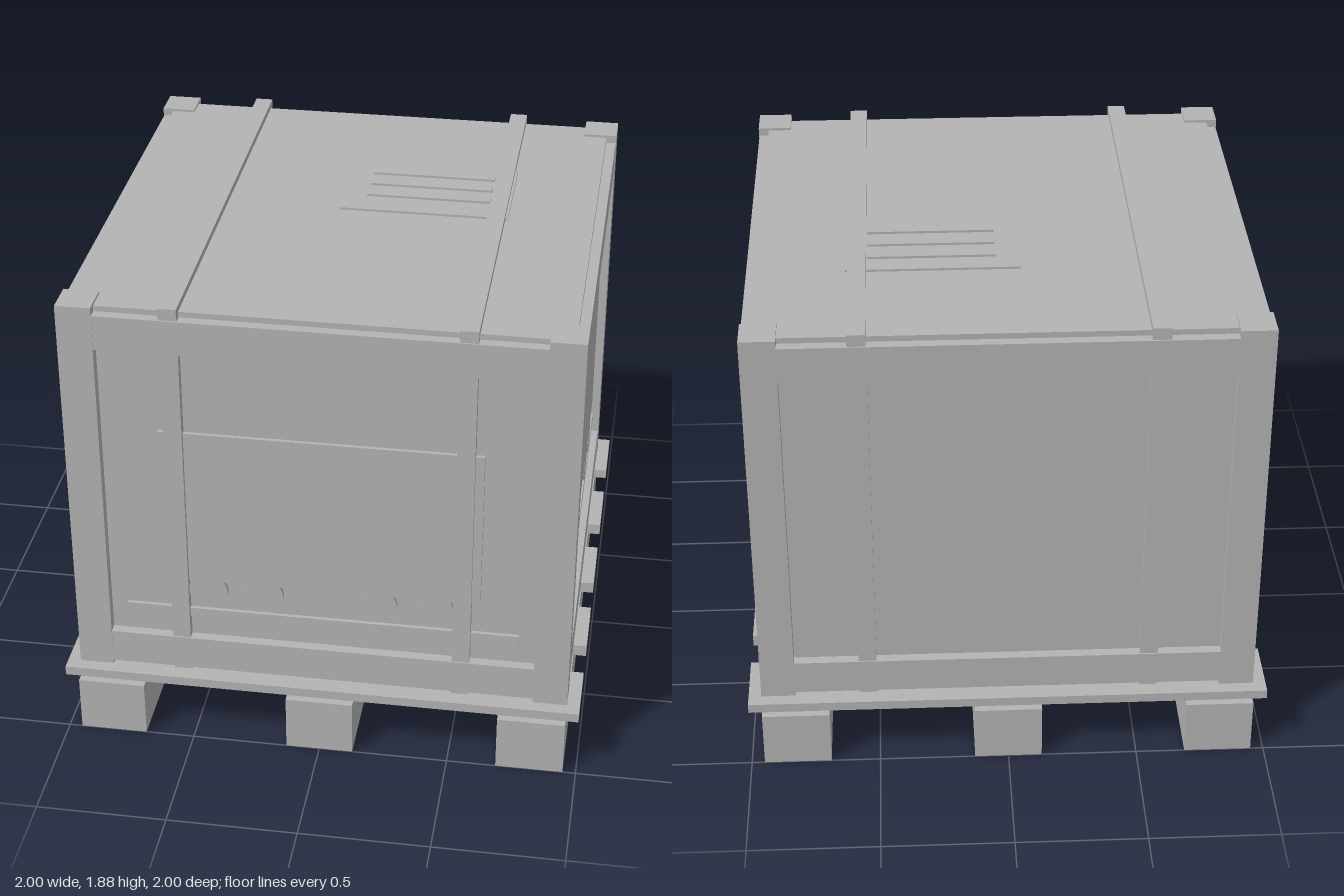
import * as THREE from 'three';

const wood = new THREE.MeshStandardMaterial({ color: 0xb3b3b3 });
wood.name = 'plain grey';

export function createModel() {
  const model = new THREE.Group();
  model.name = 'crateOnPallet';

  // box given by its low and high limits on each axis
  function box(parent, name, [x0, x1], [y0, y1], [z0, z1]) {
    const mesh = new THREE.Mesh(new THREE.BoxGeometry(x1 - x0, y1 - y0, z1 - z0), wood);
    mesh.position.set((x0 + x1) / 2, (y0 + y1) / 2, (z0 + z1) / 2);
    mesh.name = name;
    parent.add(mesh);
    return mesh;
  }

  // pallet: three runners and five cross slats
  const pallet = new THREE.Group();
  pallet.name = 'pallet';
  model.add(pallet);
  for (const x of [-0.82, 0, 0.82]) box(pallet, 'runner', [x - 0.13, x + 0.13], [0, 0.225], [-1, 1]);
  for (const z of [-0.87, -0.435, 0, 0.435, 0.87]) {
    const low = Math.abs(z) > 0.8 ? 0.25 : 0.24;
    box(pallet, 'slat', [-1, 1], [low, 0.287], [z - 0.132, z + 0.132]);
  }

  // crate body whose faces form the recessed panels and the lid
  const crate = new THREE.Group();
  crate.name = 'crate';
  model.add(crate);
  box(crate, 'body', [-0.91, 0.91], [0.289, 1.85], [-0.91, 0.91]);

  // corner posts
  for (const x of [-0.885, 0.885]) for (const z of [-0.885, 0.885])
    box(crate, 'cornerPost', [x - 0.066, x + 0.066], [0.287, 1.86], [z - 0.066, z + 0.066]);

  // cart relief: a plate with four half-hidden round wheels along its lower edge
  const cart = new THREE.Shape();
  const neck = Math.asin(0.045 / 0.075);
  cart.moveTo(-0.605, 0.7);
  for (const c of [-0.435, -0.22, 0.215, 0.43]) {
    cart.lineTo(c - 0.06, 0.7);
    cart.absarc(c, 0.655, 0.075, Math.PI - neck, 2 * Math.PI + neck, false);
  }
  cart.lineTo(0.605, 0.7);
  cart.lineTo(0.605, 1.35);
  cart.lineTo(-0.605, 1.35);
  cart.closePath();
  const cartGeometry = new THREE.ExtrudeGeometry(cart, { depth: 0.017, bevelEnabled: false, curveSegments: 20 });

  // four walls: rails all round, relief everywhere but the back
  ['front', 'right', 'back', 'left'].forEach((side, i) => {
    const wall = new THREE.Group();
    wall.name = side + 'Wall';
    wall.rotation.y = i * Math.PI / 2;
    crate.add(wall);
    box(wall, 'topRail', [-0.82, 0.82], [1.69, 1.828], [0.9, 0.949]);
    box(wall, 'bottomRail', [-0.82, 0.82], [0.302, 0.44], [0.9, 0.949]);
    if (side === 'back') return;
    const relief = new THREE.Mesh(cartGeometry, wood);
    relief.name = 'cartRelief';
    relief.position.z = 0.908;
    wall.add(relief);
    box(wall, 'groundStrip', [-0.755, 0.755], [0.528, 0.567], [0.9, 0.925]);
  });

  // two straps wrapped over the lid, front and back
  for (const x of [-0.542, 0.538]) {
    const strap = new THREE.Group();
    strap.name = 'strap';
    model.add(strap);
    const width = [x - 0.034, x + 0.034];
    box(strap, 'strapTop', width, [1.84, 1.875], [-0.945, 0.945]);
    for (const s of [-1, 1])
      box(strap, 'strapSide', width, [0.289, 1.86], s > 0 ? [0.9, 0.943] : [-0.943, -0.9]);
  }

  // raised tag with three bars on the lid
  const tag = new THREE.Group();
  tag.name = 'lidTag';
  model.add(tag);
  box(tag, 'tagPlate', [-0.07, 0.582], [1.845, 1.859], [-0.433, 0.005]);
  for (const z of [-0.33, -0.23, -0.13]) box(tag, 'tagBar', [0.02, 0.5], [1.855, 1.868], [z - 0.02, z + 0.02]);

  return model;
}
